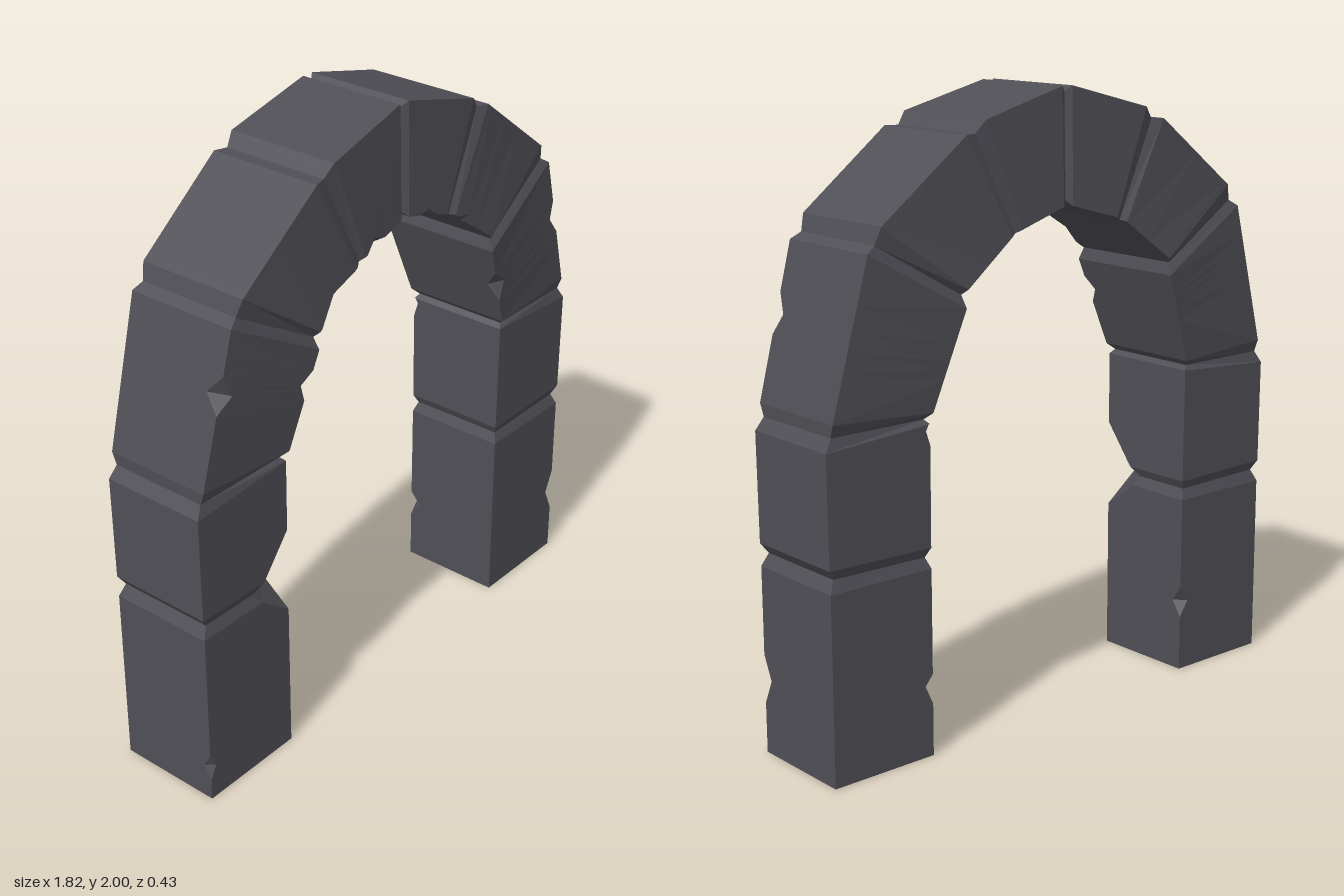
import * as THREE from 'three';

const material = new THREE.MeshStandardMaterial({
  color: 0x504f56, flatShading: true, side: THREE.DoubleSide,
});

// Section: inner x, inner y, outer x, outer y, inner half depth, outer half depth
// Each stone: joint groove, bevelled edge, bevelled edge, joint groove
const base = [0.535, 0, 0.903, 0, 0.178, 0.178];
const joints = [
  [0.55, 0.635, 0.883, 0.64, 0.165, 0.165],
  [0.55, 1.06, 0.883, 1.06, 0.168, 0.168],
  [0.43, 1.42, 0.725, 1.592, 0.2, 0.178],
  [0.215, 1.577, 0.358, 1.88, 0.192, 0.182],
  [0, 1.655, 0, 1.983, 0.178, 0.17],
];
const stones = [
  ['lowerLegBlock', base, base, [0.535, 0.6, 0.903, 0.6, 0.178, 0.178], joints[0]],
  ['upperLegBlock', joints[0], [0.535, 0.665, 0.905, 0.672, 0.178, 0.178],
    [0.535, 1.045, 0.908, 1.02, 0.18, 0.178], joints[1]],
  ['springerStone', joints[1], [0.53, 1.08, 0.885, 1.1, 0.19, 0.182],
    [0.422, 1.38, 0.757, 1.572, 0.216, 0.19], joints[2]],
  ['haunchStone', joints[2], [0.415, 1.435, 0.708, 1.645, 0.216, 0.19],
    [0.235, 1.57, 0.4, 1.88, 0.205, 0.195], joints[3]],
  ['crownStone', joints[3], [0.195, 1.587, 0.325, 1.92, 0.203, 0.194],
    [0.018, 1.638, 0.02, 2, 0.192, 0.184], joints[4]],
];

// Chips: stone, corner, centre, half length, slope height, greatest cut
// Corners: 0 inner front, 1 outer front, 2 outer back, 3 inner back
const chips = {
  right: [
    [0, 1, 1.4, 0.13, 0.035, 0.035], [0, 3, 1.36, 0.08, 0.04, 0.04],
    [1, 3, 1.93, 0.1, 0.02, 0.02],
    [2, 0, 1.5, 0.2, 0.04, 0.04], [2, 1, 1.55, 0.13, 0.035, 0.035],
    [3, 0, 1.7, 0.25, 0.025, 0.025], [4, 0, 1.5, 0.25, 0.02, 0.02],
  ],
  left: [
    [0, 0, 3, 1.15, 0.9, 0.13], [1, 0, 0, 1.36, 0.4, 0.13],
    [0, 1, 1.2, 0.08, 0.025, 0.025], [0, 3, 1.4, 0.09, 0.035, 0.035],
    [2, 1, 1.6, 0.12, 0.05, 0.05], [2, 0, 1.65, 0.15, 0.035, 0.035],
    [3, 0, 1.5, 0.45, 0.045, 0.035], [4, 0, 1.3, 0.25, 0.03, 0.03],
  ],
};

// Eight points round a stone at position s, with chipped corners cut off
function ringAt(sections, s, stoneChips, side) {
  const n = Math.min(2, Math.floor(s)), f = s - n;
  const [ix, iy, ox, oy, zi, zo] =
    sections[n].map((v, i) => THREE.MathUtils.lerp(v, sections[n + 1][i], f));
  const corners = [[ix, iy, zi], [ox, oy, zo], [ox, oy, -zo], [ix, iy, -zi]]
    .map(([x, y, z]) => new THREE.Vector3(x * side, y, z));
  return corners.flatMap((p, k) => {
    let cut = 0;
    for (const [, corner, centre, half, height, cap] of stoneChips) {
      if (corner === k) {
        cut = Math.max(cut, Math.min(cap, height * (1 - Math.abs(s - centre) / half)));
      }
    }
    return [corners[(k + 3) % 4], corners[(k + 1) % 4]].map((q) =>
      p.clone().addScaledVector(q.clone().sub(p).normalize(), cut));
  });
}

function makeStone(sections, stoneChips, side) {
  // Section positions, with extra ones at the ends and middle of each chip
  const stops = new Set([0, 1, 2, 3]);
  for (const [, , centre, half] of stoneChips) {
    for (const s of [centre - half, centre, centre + half]) {
      if (s > 0 && s < 3) stops.add(s);
    }
  }
  const rings = [...stops].sort((a, b) => a - b)
    .map((s) => ringAt(sections, s, stoneChips, side));
  const positions = [];
  const triangle = (a, b, c) => {
    if (new THREE.Triangle(a, b, c).getArea() < 1e-8) return;
    for (const p of side > 0 ? [a, b, c] : [a, c, b]) positions.push(p.x, p.y, p.z);
  };
  for (let j = 0; j < rings.length - 1; j++) {
    for (let k = 0; k < 8; k++) {
      const m = (k + 1) % 8;
      triangle(rings[j][k], rings[j][m], rings[j + 1][m]);
      triangle(rings[j][k], rings[j + 1][m], rings[j + 1][k]);
    }
  }
  const geometry = new THREE.BufferGeometry();
  geometry.setAttribute('position', new THREE.Float32BufferAttribute(positions, 3));
  geometry.computeVertexNormals();
  return new THREE.Mesh(geometry, material);
}

export function createModel() {
  const arch = new THREE.Group();
  arch.name = 'stoneArch';
  // Two mirrored halves meeting at the crown; the legs are open underneath
  for (const [half, side] of [['right', 1], ['left', -1]]) {
    const group = new THREE.Group();
    group.name = side > 0 ? 'leftHalf' : 'rightHalf';
    stones.forEach(([name, ...sections], i) => {
      const stone = makeStone(sections, chips[half].filter((c) => c[0] === i), side);
      stone.name = name;
      group.add(stone);
    });
    arch.add(group);
  }
  return arch;
}
